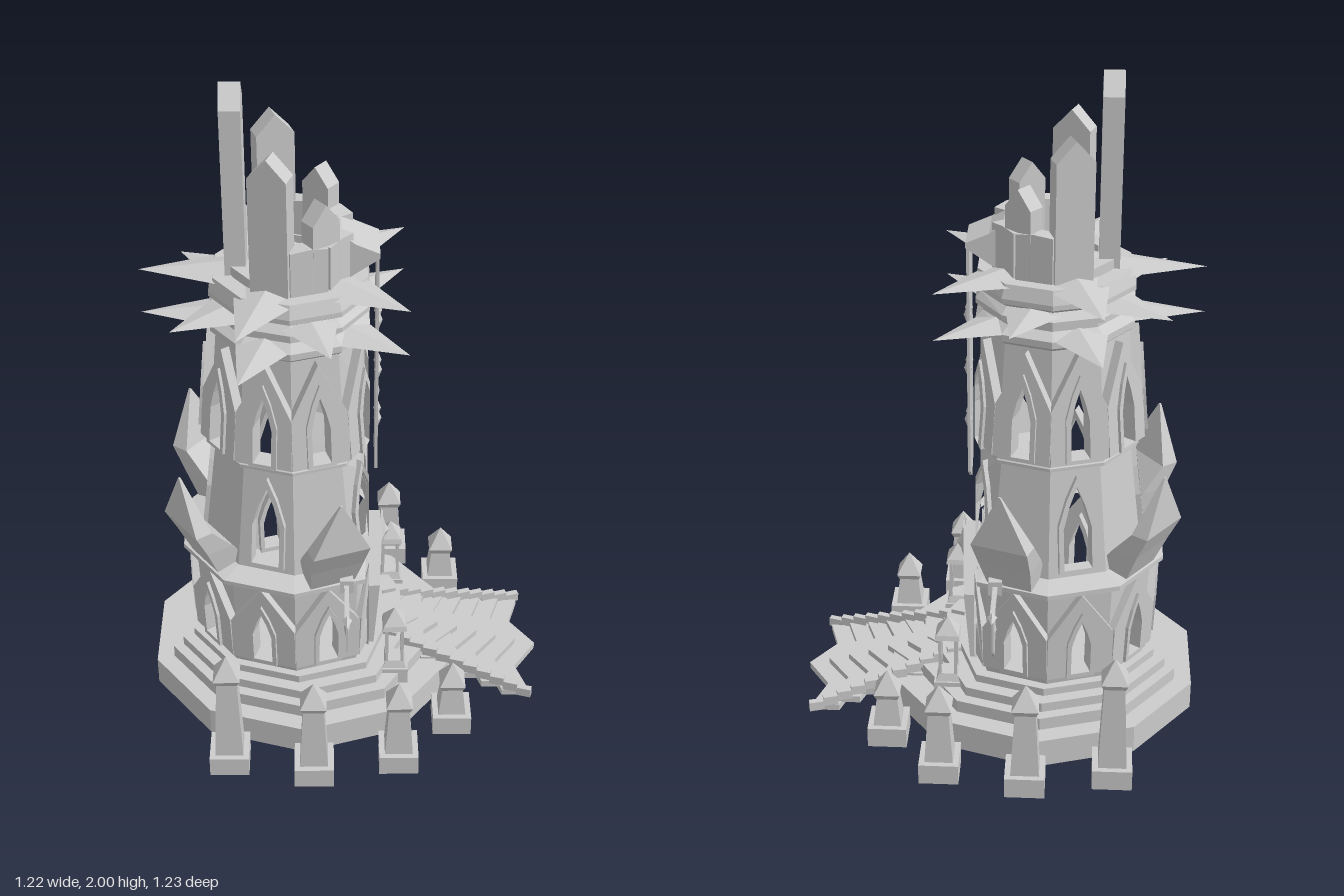
import * as THREE from 'three';

const stone = new THREE.MeshStandardMaterial({ color: 0xcccccc });
stone.name = 'paleStone';
const CX = -0.165;            // tower axis
const T18 = Math.tan(Math.PI / 10);
const rad = THREE.MathUtils.degToRad;
const lerp = THREE.MathUtils.lerp;

// faceted mesh from any geometry
function add(parent, name, geo) {
  const g = geo.index ? geo.toNonIndexed() : geo;
  g.computeVertexNormals();
  const m = new THREE.Mesh(g, stone);
  m.name = name;
  parent.add(m);
  return m;
}
const poly = pts => new THREE.Shape(pts.map(p => new THREE.Vector2(p[0], p[1])));
const archPts = (w, y0, ys, ya) => [[-w, y0], [w, y0], [w, ys], [w * 0.55, lerp(ys, ya, 0.55)], [0, ya], [-w * 0.55, lerp(ys, ya, 0.55)], [-w, ys]];
const gablePts = (w, y0, ys, ya) => [[-w, y0], [w, y0], [w, ys], [0, ya], [-w, ys]];
const extrude = (shape, depth) => new THREE.ExtrudeGeometry(shape, { depth, bevelEnabled: false });
const box = (w, h, d, x, y, z) => new THREE.BoxGeometry(w, h, d).translate(x, y, z);
// turn local +z to a bearing around the tower (0 = +x, 90 = +z)
const around = (geo, deg) => geo.rotateY(Math.PI / 2 - rad(deg)).translate(CX, 0, 0);
const decagon = (pts, phi = 0) => new THREE.LatheGeometry(pts.map(p => new THREE.Vector2(p[0], p[1])), 10, phi);
// flatten the entrance side at a limit in x
function flatten(geo, limit) {
  const p = geo.attributes.position;
  for (let i = 0; i < p.count; i++) p.setX(i, Math.min(p.getX(i), limit));
  return geo;
}
// square tapered block: half widths at bottom and top
const taper = (h0, h1, y0, y1, x, z) => new THREE.CylinderGeometry(h1 * Math.SQRT2, h0 * Math.SQRT2, y1 - y0, 4)
  .rotateY(Math.PI / 4).translate(x, (y0 + y1) / 2, z);
const gem = (rx, ry, rz, x, y, z) => new THREE.OctahedronGeometry(1).scale(rx, ry, rz).translate(x, y, z);

// solid through four-cornered sections
function loft(rings) {
  const n = 4, idx = [], last = (rings.length - 1) * n;
  for (let r = 0; r < rings.length - 1; r++) for (let i = 0; i < n; i++) {
    const a = r * n + i, b = r * n + (i + 1) % n;
    idx.push(a, b, b + n, a, b + n, a + n);
  }
  idx.push(0, 2, 1, 0, 3, 2, last, last + 1, last + 2, last, last + 2, last + 3);
  const g = new THREE.BufferGeometry();
  g.setAttribute('position', new THREE.Float32BufferAttribute(rings.flat(2), 3));
  g.setIndex(idx);
  return g;
}
const section = (w, y, rIn, rOut) => [[-w, y, rOut], [w, y, rOut], [w, y, rIn], [-w, y, rIn]];

// one storey: ten walls with open pointed windows and projecting frames
function storey(root, name, s) {
  const g = new THREE.Group();
  g.name = name;
  root.add(g);
  const lean = geo => {
    const p = geo.attributes.position;
    for (let i = 0; i < p.count; i++)
      p.setZ(i, p.getZ(i) + lerp(s.a0, s.a1, (p.getY(i) - s.y0) / (s.y1 - s.y0)));
    return geo;
  };
  for (let k = 0; k < 10; k++) {
    const open = k !== 0 && (!s.alternate || k % 2 === 1);
    const wall = poly([[-s.a0 * T18, s.y0], [s.a0 * T18, s.y0], [s.a1 * T18, s.y1], [-s.a1 * T18, s.y1]]);
    if (open) wall.holes.push(poly(archPts(...s.hole)));
    add(g, 'wall', flatten(around(lean(new THREE.ShapeGeometry(wall)), k * 36), 0.045));
    if (!open) continue;
    s.frames.forEach(([pts, front, back]) => {
      const f = poly(pts);
      f.holes.push(poly(archPts(...s.hole)));
      add(g, 'windowFrame', flatten(around(lean(extrude(f, front + back).translate(0, 0, -back)), k * 36), 0.06));
    });
  }
}

export function createModel() {
  const root = new THREE.Group();
  root.name = 'tower';

  // stepped platform, hollow underneath, cut back where the stairs arrive
  const platform = (r, limit, pts) =>
    add(root, 'platform', flatten(decagon(pts).scale(1.055, 1, 1).translate(-0.14 - (0.47 - r) * 0.12, 0, 0), limit));
  platform(0.47, 1, [[0, 0.075], [0.455, 0.075], [0.455, 0], [0.47, 0], [0.47, 0.09], [0, 0.09]]);
  [[0.41, 0.09, 0.13, 0.24], [0.375, 0.13, 0.16, 0.17], [0.335, 0.16, 0.185, 0.11]].forEach(([r, y0, y1, limit]) =>
    platform(r, limit, [[0, y0], [r, y0], [r, y1], [0, y1]]));

  // storeys
  storey(root, 'lowerStorey', { y0: 0.18, y1: 0.51, a0: 0.29, a1: 0.305, hole: [0.03, 0.23, 0.33, 0.415],
    frames: [[gablePts(0.102, 0.215, 0.36, 0.505), 0.024, 0], [archPts(0.043, 0.215, 0.34, 0.445), 0.034, 0.025]] });
  storey(root, 'middleStorey', { y0: 0.53, y1: 0.89, a0: 0.275, a1: 0.232, alternate: true, hole: [0.043, 0.57, 0.7, 0.83],
    frames: [[archPts(0.058, 0.56, 0.71, 0.86), 0.014, 0.025]] });
  storey(root, 'upperStorey', { y0: 0.89, y1: 1.26, a0: 0.25, a1: 0.218, hole: [0.028, 0.935, 1.05, 1.15],
    frames: [[gablePts(0.087, 0.925, 1.08, 1.25), 0.028, 0], [archPts(0.043, 0.925, 1.06, 1.19), 0.037, 0.025]] });

  // ledges between storeys
  const ledge = (limit, pts) => add(root, 'ledge', flatten(decagon(pts).translate(CX, 0, 0), limit));
  ledge(0.055, [[0.29, 0.185], [0.315, 0.19], [0.32, 0.215], [0.29, 0.23]]);
  ledge(0.055, [[0.29, 0.49], [0.36, 0.515], [0.36, 0.53], [0.25, 0.55]]);
  ledge(0.048, [[0.22, 0.875], [0.265, 0.89], [0.265, 0.9], [0.24, 0.925]]);

  // cornice discs, low crown rim and three spiked stars, the middle one turned
  ledge(0.06, [[0, 1.25], [0.22, 1.25], [0.245, 1.27], [0.245, 1.29], [0.215, 1.31], [0.215, 1.325], [0.245, 1.335], [0.245, 1.35],
    [0.22, 1.37], [0.245, 1.385], [0.245, 1.4], [0.23, 1.44], [0, 1.44]]);
  ledge(0.06, [[0.18, 1.43], [0.18, 1.47], [0.13, 1.47], [0.13, 1.43]]);
  [[0.425, 1.29, 0], [0.4, 1.36, 1], [0.425, 1.43, 0]].forEach(([R, y, turn]) => {
    const geo = decagon([[0, -0.045], [1, 0], [0, 0.045]], -Math.PI / 10);
    const p = geo.attributes.position;
    for (let i = 0; i < p.count; i++) {
      if (Math.hypot(p.getX(i), p.getZ(i)) < 0.9) continue;
      const k = Math.round((Math.atan2(p.getX(i), p.getZ(i)) + Math.PI / 10) / (Math.PI / 5) + 10);
      const r = k % 2 === turn ? R : 0.185;
      p.setXYZ(i, p.getX(i) * r, p.getY(i), p.getZ(i) * r);
    }
    add(root, 'spikedStar', flatten(geo.translate(CX - 0.01, y, 0), turn ? 0.075 : 1));
  });

  // crown of upright crystals and low walls
  const slab = (name, deg, w, ys, ya, rIn, rOut) =>
    add(root, name, around(extrude(poly(gablePts(w, 1.43, ys, ya)), rOut - rIn).translate(0, 0, rIn), deg));
  slab('crownCrystal', 180, 0.06, 1.94, 2, 0.125, 0.185);
  for (const s of [1, -1]) {
    slab('crownCrystal', 108 * s, 0.056, 1.79, 1.85, 0.125, 0.185);
    slab('crownCrystal', 54 * s, 0.045, 1.645, 1.7, 0.12, 0.175);
    slab('crownWall', 72 * s, 0.055, 1.575, 1.58, 0.13, 0.18);
    slab('crownWall', 36 * s, 0.055, 1.575, 1.58, 0.13, 0.18);
  }

  // hooded banner on the front
  add(root, 'bannerHood', extrude(poly([[-0.035, 1.43], [0.0, 1.44], [0.088, 1.5], [0.088, 1.515], [0.02, 1.545], [-0.02, 1.575], [-0.035, 1.575]]), 0.15).translate(0, 0, -0.075));
  add(root, 'banner', extrude(poly([[-0.07, 1.51], [-0.07, 0.78], [0, 0.73], [0.07, 0.78], [0.07, 1.51]]), 0.008)
    .rotateY(Math.PI / 2).translate(0.078, 0, 0));
  [1.275, 1.105, 0.935].forEach(y => {
    for (const s of [1, -1]) add(root, 'bannerGem', gem(0.012, 0.033, 0.018, 0.086, y, 0.027 * s));
    add(root, 'bannerGem', gem(0.006, 0.035, 0.022, 0.086, y + 0.08, 0));
  });

  // thin curved horns on the main ledge
  for (const deg of [70, 144, -70, -144])
    add(root, 'horn', around(loft([section(0.07, 0.53, 0.22, 0.335), section(0.082, 0.62, 0.29, 0.375),
      section(0.088, 0.7, 0.36, 0.415), section(0.003, 0.87, 0.405, 0.411)]), deg));

  // entrance: nested gables around a recessed door, leaning outwards
  const portal = (name, outer, inner, x, depth) => {
    const s = poly(outer);
    if (inner) s.holes.push(poly(inner));
    const geo = extrude(s, depth).rotateY(Math.PI / 2).translate(x, 0, 0);
    const p = geo.attributes.position;
    for (let i = 0; i < p.count; i++) p.setX(i, p.getX(i) + (p.getY(i) - 0.13) * 0.08);
    add(root, name, geo);
  };
  portal('portalFrame', gablePts(0.175, 0.13, 0.41, 0.57), gablePts(0.14, 0.132, 0.37, 0.48), 0.02, 0.052);
  portal('portalInnerFrame', gablePts(0.142, 0.13, 0.372, 0.482), gablePts(0.108, 0.132, 0.33, 0.425), 0.02, 0.043);
  portal('door', gablePts(0.11, 0.13, 0.332, 0.427), null, 0.02, 0.033);
  add(root, 'portalGem', gem(0.02, 0.085, 0.06, 0.1, 0.495, 0));
  add(root, 'portalGem', gem(0.028, 0.05, 0.033, 0.1, 0.495, 0));

  // zigzag stairs
  for (let k = 0; k < 8; k++) {
    const x = 0.61 - k * 0.064, hw = 0.08 + (x - 0.1) * 0.28, back = 0.085;
    const edge = [[x - 0.04, -hw], [x - 0.075, -hw / 2], [x, 0], [x - 0.075, hw / 2], [x - 0.04, hw]];
    const rear = edge.map(([a, b]) => [a - back, b]).reverse();
    add(root, 'step', extrude(poly([...edge, ...rear]), 0.022).rotateX(-Math.PI / 2).translate(0, k * 0.019, 0));
  }
  // block railings, lanterns, hanging flags
  for (const s of [1, -1]) {
    for (let k = 0; k < 11; k++) {
      const t = (k + 0.5) / 11;
      add(root, 'railBlock', box(0.046, 0.03, 0.02, 0, 0, 0).rotateY(-0.3 * s)
        .translate(lerp(0.11, 0.575, t), lerp(0.165, 0.02, t), s * lerp(0.1, 0.24, t)));
    }
    const lx = 0.14, lz = 0.22 * s;
    const lamp = new THREE.Group();
    lamp.name = 'lantern';
    root.add(lamp);
    add(lamp, 'lanternBase', taper(0.042, 0.042, 0.09, 0.145, lx, lz));
    add(lamp, 'lanternSill', taper(0.036, 0.028, 0.145, 0.17, lx, lz));
    for (const a of [-1, 1]) for (const b of [-1, 1])
      add(lamp, 'lanternPost', box(0.009, 0.14, 0.009, lx + a * 0.024, 0.235, lz + b * 0.024));
    add(lamp, 'lanternRoof', taper(0.038, 0.034, 0.295, 0.31, lx, lz));
    add(lamp, 'lanternRoof', taper(0.034, 0.0005, 0.31, 0.36, lx, lz));

    add(root, 'flagBracket', box(0.04, 0.045, 0.03, -0.01, 0.535, 0.32 * s));
    add(root, 'flagPole', box(0.014, 0.014, 0.19, -0.01, 0.535, 0.395 * s));
    add(root, 'flagPoleTip', new THREE.ConeGeometry(0.015, 0.04, 4).rotateX(s * Math.PI / 2).translate(-0.01, 0.535, 0.505 * s));
    add(root, 'flag', extrude(poly([[-0.05, 0.53], [-0.05, 0.4], [0, 0.355], [0.05, 0.4], [0.05, 0.53]]), 0.006)
      .rotateY(Math.PI / 2).translate(-0.013, 0, 0.418 * s));
    add(root, 'flagGem', gem(0.009, 0.05, 0.022, -0.01, 0.45, 0.418 * s));

    // obelisks, descending towards the stairs
    [[-0.365, 0.508, 0.42], [-0.11, 0.558, 0.355], [0.145, 0.508, 0.31], [0.315, 0.34, 0.24]].forEach(([x, z, h]) => {
      const o = new THREE.Group();
      o.name = 'obelisk';
      root.add(o);
      add(o, 'obeliskBase', taper(0.059, 0.059, 0, 0.065, x, z * s));
      add(o, 'obeliskShaft', taper(0.042, 0.03, 0.065, h - 0.075, x, z * s));
      add(o, 'obeliskCap', taper(0.032, 0.039, h - 0.085, h - 0.068, x, z * s));
      add(o, 'obeliskCap', taper(0.039, 0.0005, h - 0.068, h, x, z * s));
    });
  }
  return root;
}
